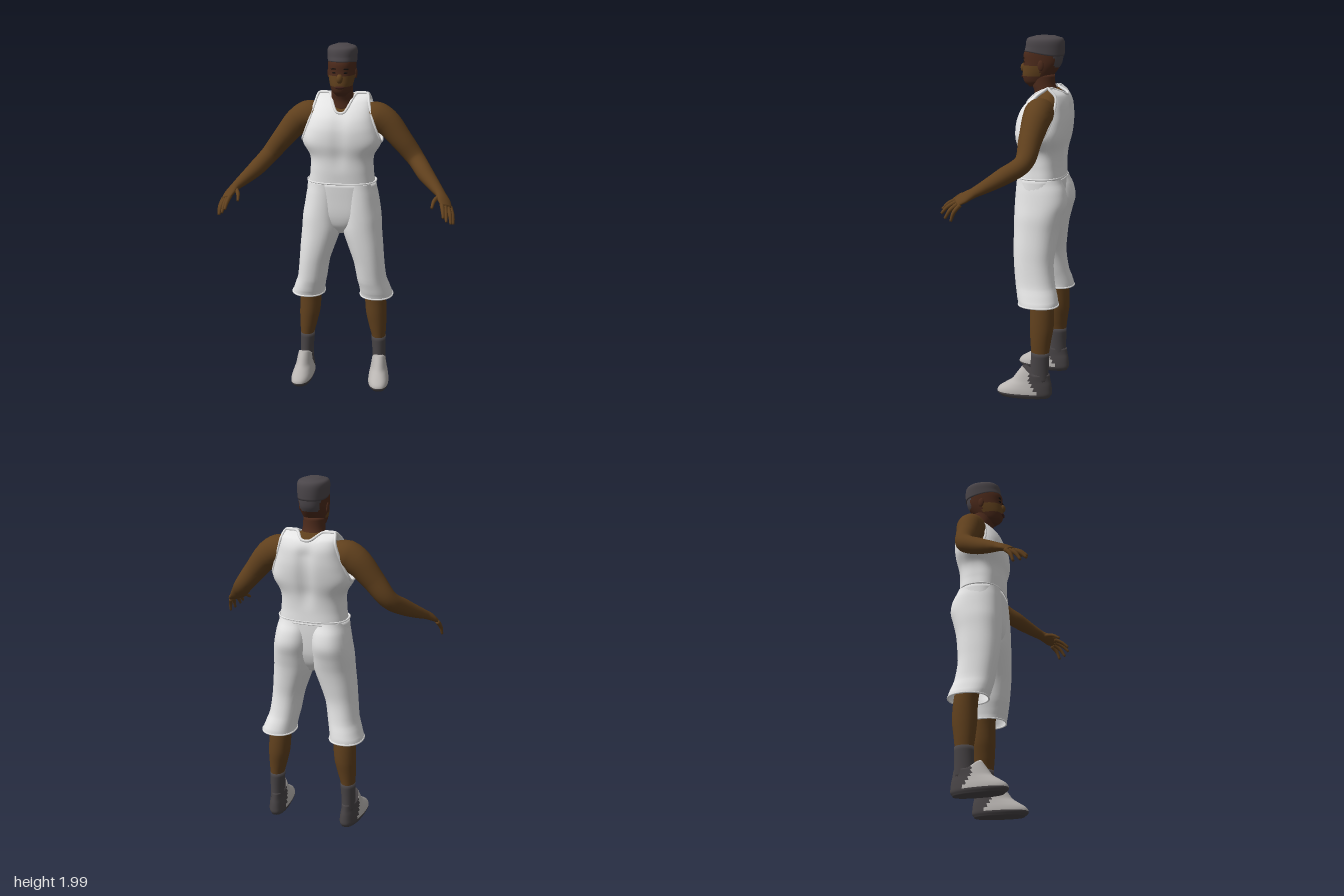
import * as THREE from 'three';

const V = (x, y, z) => new THREE.Vector3(x, y, z);
const mat = (name, color, side = THREE.FrontSide) => {
  const m = new THREE.MeshStandardMaterial({ color, side });
  m.name = name;
  return m;
};
const { lerp, smoothstep } = THREE.MathUtils;

// Catmull-Rom sample of a section table [y, zFront, zBack, halfWidth, centreX, squareness]
function sectionAt(specs, y) {
  let i = 0;
  while (i < specs.length - 2 && y > specs[i + 1][0]) i++;
  const at = k => specs[Math.min(Math.max(k, 0), specs.length - 1)];
  const t = (y - at(i)[0]) / (at(i + 1)[0] - at(i)[0]);
  return at(i).map((b, k) => {
    if (k === 0) return y;
    const a = at(i - 1)[k], c = at(i + 1)[k], d = at(i + 2)[k];
    return b + 0.5 * t * (c - a + t * (2 * a - 5 * b + 4 * c - d + t * (3 * (b - c) + d - a)));
  });
}
function sectionPoint([y, zf, zb, w, cx = 0, e = 2], ang) {
  const c = Math.cos(ang), s = Math.sin(ang);
  const p = v => Math.sign(v) * Math.abs(v) ** (2 / e);
  return V(cx + w * p(c), y, (zf + zb) / 2 + (zf - zb) / 2 * p(s));
}
function sectionRows(specs, n = 32, k = 4) {
  const rows = [];
  for (let i = 0; i < specs.length - 1; i++)
    for (let j = i ? 1 : 0; j <= k; j++) {
      const s = sectionAt(specs, lerp(specs[i][0], specs[i + 1][0], j / k));
      rows.push(Array.from({ length: n }, (_, a) => sectionPoint(s, a / n * Math.PI * 2)));
    }
  return rows;
}
// Skin over closed rings; pick(centre) chooses a material slot for each quad
function loft(rows, { caps = true, pick = () => 0, slots = 1 } = {}) {
  const n = rows[0].length, verts = rows.flat(), faces = Array.from({ length: slots }, () => []);
  for (let i = 0; i < rows.length - 1; i++)
    for (let j = 0; j < n; j++) {
      const a = i * n + j, b = i * n + (j + 1) % n, c = a + n, d = b + n;
      const mid = verts[a].clone().add(verts[d]).multiplyScalar(0.5);
      faces[pick(mid)].push(a, c, b, b, c, d);
    }
  if (caps) [0, rows.length - 1].forEach(r => {
    const mid = rows[r].reduce((s, p) => s.add(p), V(0, 0, 0)).divideScalar(n);
    const m = verts.push(mid) - 1;
    for (let j = 0; j < n; j++) {
      const a = r * n + j, b = r * n + (j + 1) % n;
      faces[pick(mid)].push(...(r ? [a, m, b] : [a, b, m]));
    }
  });
  const g = new THREE.BufferGeometry().setFromPoints(verts);
  g.setIndex(faces.flat());
  let start = 0;
  if (slots > 1) faces.forEach((f, i) => { g.addGroup(start, f.length, i); start += f.length; });
  g.computeVertexNormals();
  return g;
}
// Limb along a curve through [x, y, z, radiusWide, radiusThin]
function limb(pts, wide, n = 16, steps = 40) {
  const curve = new THREE.CatmullRomCurve3(pts.map(p => V(p[0], p[1], p[2])));
  const rows = [];
  for (let i = 0; i <= steps; i++) {
    const t = i / steps, f = t * (pts.length - 1), k = Math.min(Math.floor(f), pts.length - 2);
    const d = curve.getTangent(t), u = wide.clone().addScaledVector(d, -wide.dot(d)).normalize();
    const v = u.clone().cross(d), o = curve.getPoint(t);
    const ru = lerp(pts[k][3], pts[k + 1][3], f - k), rv = lerp(pts[k][4], pts[k + 1][4], f - k);
    rows.push(Array.from({ length: n }, (_, j) => {
      const a = j / n * Math.PI * 2;
      return o.clone().addScaledVector(u, ru * Math.cos(a)).addScaledVector(v, rv * Math.sin(a));
    }));
  }
  return loft(rows);
}
const trim = (row, r) => new THREE.TubeGeometry(new THREE.CatmullRomCurve3(row, true), row.length * 2, r, 6, true);
function mirrored(g) {
  const m = g.clone().scale(-1, 1, 1), ix = m.index.array;
  for (let i = 0; i < ix.length; i += 3) [ix[i], ix[i + 1]] = [ix[i + 1], ix[i]];
  m.computeVertexNormals();
  return m;
}

export function createModel() {
  const root = new THREE.Group();
  const skin = mat('skin', 0x60401d), faceSkin = mat('reddish face skin', 0x4c2a1b);
  const cloth = mat('white cloth', 0xe6e6e6, THREE.DoubleSide);
  const hair = mat('hair', 0x4b464a), sock = mat('sock grey', 0x474345);
  const shoe = mat('shoe light grey', 0xb9b5b2), dark = mat('eye dark', 0x17100d), lip = mat('lip', 0x3f2019);
  const add = (name, g, m) => {
    const mesh = new THREE.Mesh(g, m);
    mesh.name = name;
    root.add(mesh);
  };
  const pair = (name, g, m) => { add(name + 'Left', g, m); add(name + 'Right', mirrored(g), m); };
  const blob = (x, y, z, sx, sy, sz) => new THREE.SphereGeometry(1, 16, 12).scale(sx, sy, sz).translate(x, y, z);

  // Head, with brown cheeks and cropped hair fading down the nape
  add('head', loft(sectionRows([
    [1.722, -0.035, -0.10, 0.025, 0, 2.2], [1.745, -0.008, -0.14, 0.049, 0, 2.2], [1.78, 0.002, -0.165, 0.062, 0, 2.2],
    [1.82, 0, -0.195, 0.071, 0, 2.2], [1.855, -0.004, -0.215, 0.075, 0, 2.2], [1.90, -0.004, -0.222, 0.077, 0, 2.2],
    [1.94, -0.02, -0.222, 0.076, 0, 2.2]], 48), {
    slots: 3,
    pick: p => p.z < -0.185 && p.y > 1.83 ? 2 : p.z > -0.11 && p.y > 1.785 && p.y < 1.84 ? 1 : 0,
  }), [faceSkin, skin, hair]);
  const hairRows = sectionRows([
    [1.89, -0.008, -0.227, 0.079, 0, 2.2], [1.93, -0.014, -0.229, 0.081, 0, 2.2], [1.965, -0.018, -0.227, 0.082, 0, 2.2],
    [1.985, -0.03, -0.215, 0.072, 0, 2.2], [1.998, -0.075, -0.175, 0.035, 0, 2]], 40);
  hairRows.flat().forEach(p => { if (p.y < 1.94) p.y += 0.022 * smoothstep(p.z, -0.2, -0.01) * (1.94 - p.y) / 0.05; });
  add('hair', loft(hairRows), hair);
  add('nose', blob(0, 1.823, -0.004, 0.018, 0.026, 0.02), skin);
  add('lips', blob(0, 1.776, -0.002, 0.026, 0.009, 0.012), lip);
  pair('eye', blob(0.03, 1.855, -0.012, 0.012, 0.005, 0.007), dark);
  pair('brow', blob(0.031, 1.876, -0.011, 0.019, 0.004, 0.007), dark);
  pair('ear', blob(0.075, 1.84, -0.115, 0.008, 0.029, 0.017), faceSkin);

  // Neck and the shoulders under the vest
  add('neck', loft(sectionRows([
    [1.64, -0.06, -0.225, 0.085], [1.69, -0.065, -0.205, 0.066], [1.73, -0.052, -0.18, 0.06], [1.79, -0.04, -0.175, 0.058]])), faceSkin);
  add('upperBody', loft(sectionRows([
    [1.40, 0, -0.23, 0.155, 0, 2.4], [1.5, 0.004, -0.25, 0.168, 0, 2.4], [1.6, -0.025, -0.25, 0.165, 0, 2.4],
    [1.66, -0.07, -0.235, 0.15, 0, 2.4], [1.695, -0.12, -0.215, 0.11, 0, 2.2], [1.715, -0.14, -0.2, 0.06, 0, 2]])), skin);

  // Vest: each column ends at the neckline, strap or armhole
  const vest = [
    [1.225, 0.008, -0.24, 0.186], [1.30, 0.012, -0.238, 0.178], [1.38, 0.014, -0.245, 0.18], [1.46, 0.026, -0.262, 0.221],
    [1.54, 0.022, -0.273, 0.205], [1.60, 0, -0.273, 0.187], [1.65, -0.04, -0.265, 0.176], [1.695, -0.095, -0.238, 0.167],
    [1.722, -0.158, -0.18, 0.163]];
  const N = 112, vestRows = [];
  for (let i = 0; i <= 36; i++)
    vestRows.push(Array.from({ length: N }, (_, j) => {
      const ang = j / N * Math.PI * 2, q = Math.abs(Math.cos(ang)) ** (2 / 2.6);
      const neckY = Math.sin(ang) > 0 ? 1.63 : 1.685;
      let top = lerp(neckY, 1.722, smoothstep(q, 0.05, 0.5));
      top = lerp(top, 1.465, smoothstep(q, 0.84, 1));
      const p = sectionPoint([...sectionAt(vest, lerp(1.225, top, i / 36)), 0, 2.6], ang);
      // Spine groove and breastbone dip
      const dip = Math.exp(-((p.x / 0.04) ** 2)) * smoothstep(p.y, 1.28, 1.42) * (1 - smoothstep(p.y, 1.6, 1.68));
      p.z += dip * (Math.sin(ang) > 0 ? -0.007 : 0.015);
      return p;
    }));
  add('vest', loft(vestRows, { caps: false }), cloth);
  add('vestTrim', trim(vestRows[36], 0.008), cloth);
  add('vestHem', trim(vestRows[0], 0.004), cloth);

  // Shorts: a pelvis between two loose legs
  const pelvis = sectionRows([
    [0.93, -0.06, -0.16, 0.03, 0, 2.5], [0.98, -0.01, -0.2, 0.1, 0, 2.5], [1.05, 0.008, -0.225, 0.195, 0, 2.5],
    [1.15, 0.012, -0.235, 0.2, 0, 2.5], [1.238, 0.014, -0.237, 0.194, 0, 2.5]], 48);
  add('shortsPelvis', loft(pelvis), cloth);
  add('waistband', trim(pelvis[pelvis.length - 1], 0.005), cloth);
  const leg = sectionRows([
    [0.545, -0.03, -0.25, 0.094, 0.2], [0.58, -0.02, -0.245, 0.09, 0.193], [0.65, -0.005, -0.225, 0.085, 0.174],
    [0.76, 0.008, -0.212, 0.088, 0.158], [0.85, 0.015, -0.22, 0.1, 0.139], [0.95, 0.018, -0.235, 0.112, 0.118],
    [1.03, 0.018, -0.255, 0.113, 0.112], [1.10, 0.016, -0.273, 0.108, 0.106], [1.17, 0.012, -0.262, 0.102, 0.1],
    [1.232, 0.008, -0.235, 0.093, 0.095]].map(s => [...s, 2.2]), 36);
  const open = leg.slice();
  pair('shortsLeg', loft(open, { caps: false }), cloth);
  pair('shortsHem', trim(leg[0], 0.005), cloth);

  // Lower legs and socks
  pair('lowerLeg', loft(sectionRows([
    [0.2, -0.11, -0.2, 0.036, 0.216], [0.26, -0.105, -0.204, 0.039, 0.215], [0.33, -0.098, -0.213, 0.05, 0.208],
    [0.42, -0.092, -0.226, 0.061, 0.198], [0.54, -0.09, -0.222, 0.063, 0.19], [0.7, -0.07, -0.2, 0.066, 0.175]], 24)), skin);
  pair('sock', loft(sectionRows([
    [0.1, -0.095, -0.205, 0.038, 0.218], [0.18, -0.1, -0.204, 0.039, 0.217], [0.272, -0.103, -0.207, 0.043, 0.214]], 24)), sock);

  // Shoes: pale upper with a raised tongue, dark heel and sole
  const shoeRows = sectionRows([
    [0.008, 0.065, -0.21, 0.05, 0, 2.4], [0.028, 0.086, -0.222, 0.059, 0, 2.4], [0.055, 0.078, -0.222, 0.058, 0, 2.3],
    [0.085, 0.035, -0.219, 0.052, 0, 2.2], [0.11, -0.005, -0.214, 0.047, 0, 2], [0.145, -0.055, -0.209, 0.042, 0, 2]], 40);
  shoeRows.flat().forEach(p => {
    p.x = p.x * (1 + 0.6 * (p.z + 0.07)) + 0.219 + (p.z + 0.15) * 0.07;
    p.y += 0.042 * smoothstep(p.y, 0.1, 0.145) * smoothstep(p.z, -0.13, -0.055);
  });
  pair('shoe', loft(shoeRows, {
    slots: 2, pick: p => p.y < 0.034 || p.z < -0.1 - 0.6 * Math.max(0, 0.12 - p.y) ? 1 : 0,
  }), [shoe, sock]);

  // Arms flow into the palms; fingers and thumb are tapered limbs
  const across = V(0.8, -0.35, -0.5);
  pair('arm', limb([
    [0.12, 1.595, -0.14, 0.07, 0.07], [0.19, 1.598, -0.137, 0.08, 0.082], [0.25, 1.565, -0.135, 0.074, 0.076],
    [0.33, 1.475, -0.125, 0.062, 0.062], [0.415, 1.37, -0.112, 0.05, 0.05], [0.477, 1.305, -0.02, 0.048, 0.045],
    [0.535, 1.257, 0.062, 0.036, 0.032], [0.566, 1.232, 0.11, 0.031, 0.023], [0.588, 1.208, 0.155, 0.042, 0.018],
    [0.602, 1.185, 0.192, 0.036, 0.012]], across, 24, 60), skin);
  [
    ['indexFinger', [0.577, 1.2, 0.19], [0.585, 1.176, 0.237], [0.59, 1.145, 0.27]],
    ['middleFinger', [0.594, 1.19, 0.188], [0.602, 1.16, 0.237], [0.607, 1.125, 0.27]],
    ['ringFinger', [0.61, 1.182, 0.178], [0.624, 1.147, 0.218], [0.63, 1.105, 0.243]],
    ['littleFinger', [0.622, 1.178, 0.164], [0.637, 1.14, 0.193], [0.643, 1.095, 0.208]],
    ['thumb', [0.56, 1.226, 0.13], [0.535, 1.212, 0.185], [0.526, 1.185, 0.23]],
  ].forEach(([name, a, b, c]) => pair(name, limb(
    [[...a, 0.012, 0.012], [...b, 0.0105, 0.0105], [...c, 0.007, 0.007]], across, 10, 10), skin));

  return root;
}
